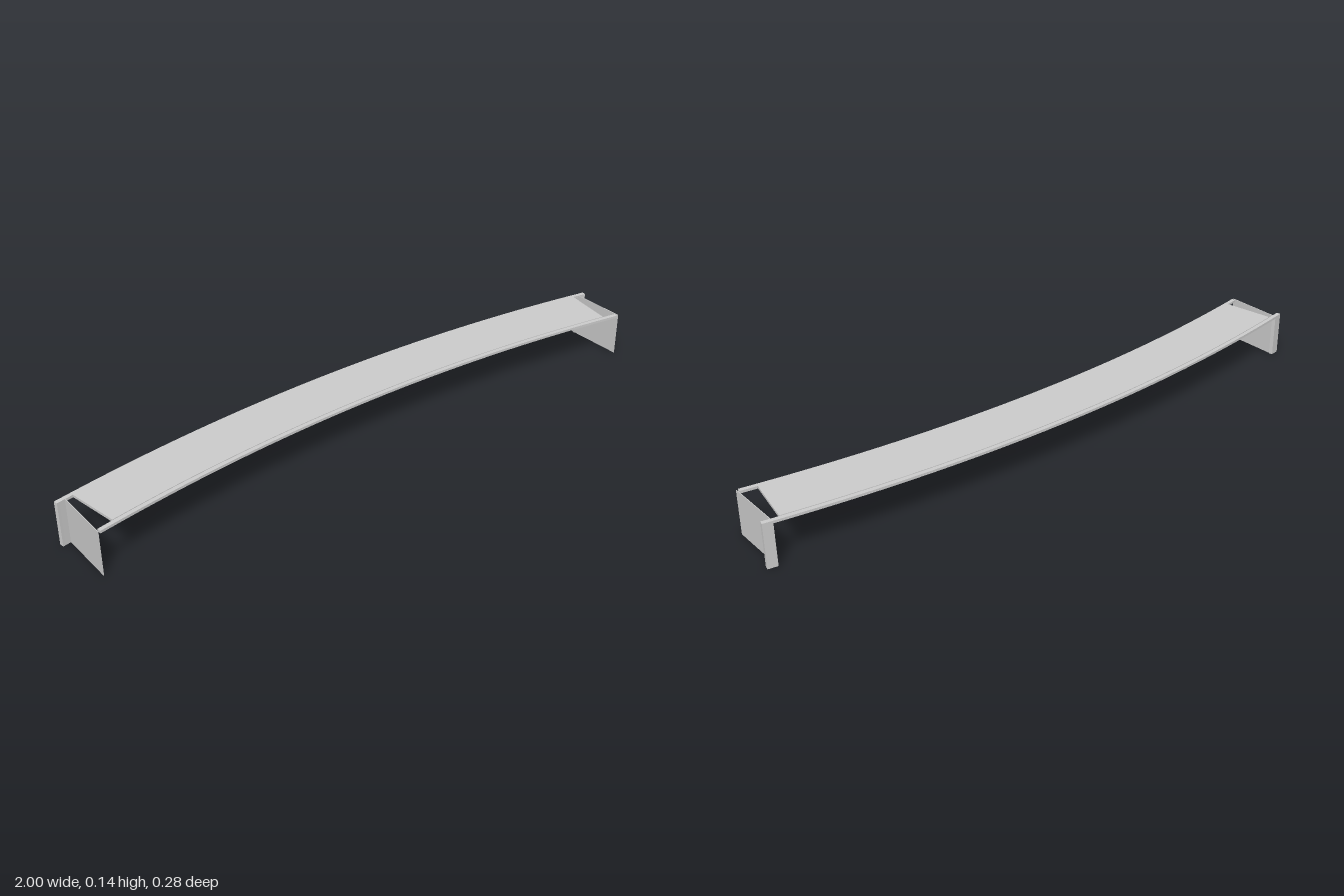
import * as THREE from 'three';

const CENTRE_Z = 5.358;   // common centre of all arcs
const R_BACK = 5.5, R_FRONT = 5.306, RAIL = 0.013;
const END = Math.asin(1 / R_BACK);
const PLATE_END = 0.1735;
const POST_START = Math.asin(0.97 / R_BACK);

const material = new THREE.MeshStandardMaterial({ color: 0xcccccc, side: THREE.DoubleSide });

// Curved bar between two radii and two angles (measured from the -z axis towards +x)
function arcBar(name, rInner, rOuter, a0, a1, y0, y1, segments) {
  const shape = new THREE.Shape();
  const up = Math.PI / 2;
  shape.absarc(0, -CENTRE_Z, rOuter, up - a0, up - a1, true);
  shape.absarc(0, -CENTRE_Z, rInner, up - a1, up - a0, false);
  shape.closePath();
  const geometry = new THREE.ExtrudeGeometry(shape, { depth: y1 - y0, bevelEnabled: false, curveSegments: segments });
  geometry.rotateX(-Math.PI / 2).translate(0, y0, 0);
  const mesh = new THREE.Mesh(geometry, material);
  mesh.name = name;
  return mesh;
}

export function createModel() {
  const group = new THREE.Group();
  group.name = 'curvedShelf';

  // Shelf plate between the two rails, slightly proud of them
  group.add(arcBar('shelfPlate', R_FRONT + RAIL, R_BACK - RAIL, -PLATE_END, PLATE_END, 0.137, 0.145, 32));

  // Rails running past the ends of the plate
  group.add(arcBar('backRail', R_BACK - RAIL, R_BACK, -END, END, 0.135, 0.143, 32));
  group.add(arcBar('frontRail', R_FRONT, R_FRONT + RAIL, -END, END, 0.135, 0.143, 32));

  for (const side of [-1, 1]) {
    const label = side > 0 ? 'left' : 'right';
    // Back post under the rail end
    const [a0, a1] = side > 0 ? [POST_START, END] : [-END, -POST_START];
    group.add(arcBar(label + 'Post', R_BACK - RAIL, R_BACK, a0, a1, 0, 0.143, 2));

    // Thin end panel from the post to the front rail
    const panel = new THREE.Mesh(new THREE.BoxGeometry(0.002, 0.143, 0.187), material);
    panel.name = label + 'EndPanel';
    panel.position.set(side * 0.971, 0.0715, 0.0455);
    group.add(panel);
  }
  return group;
}
